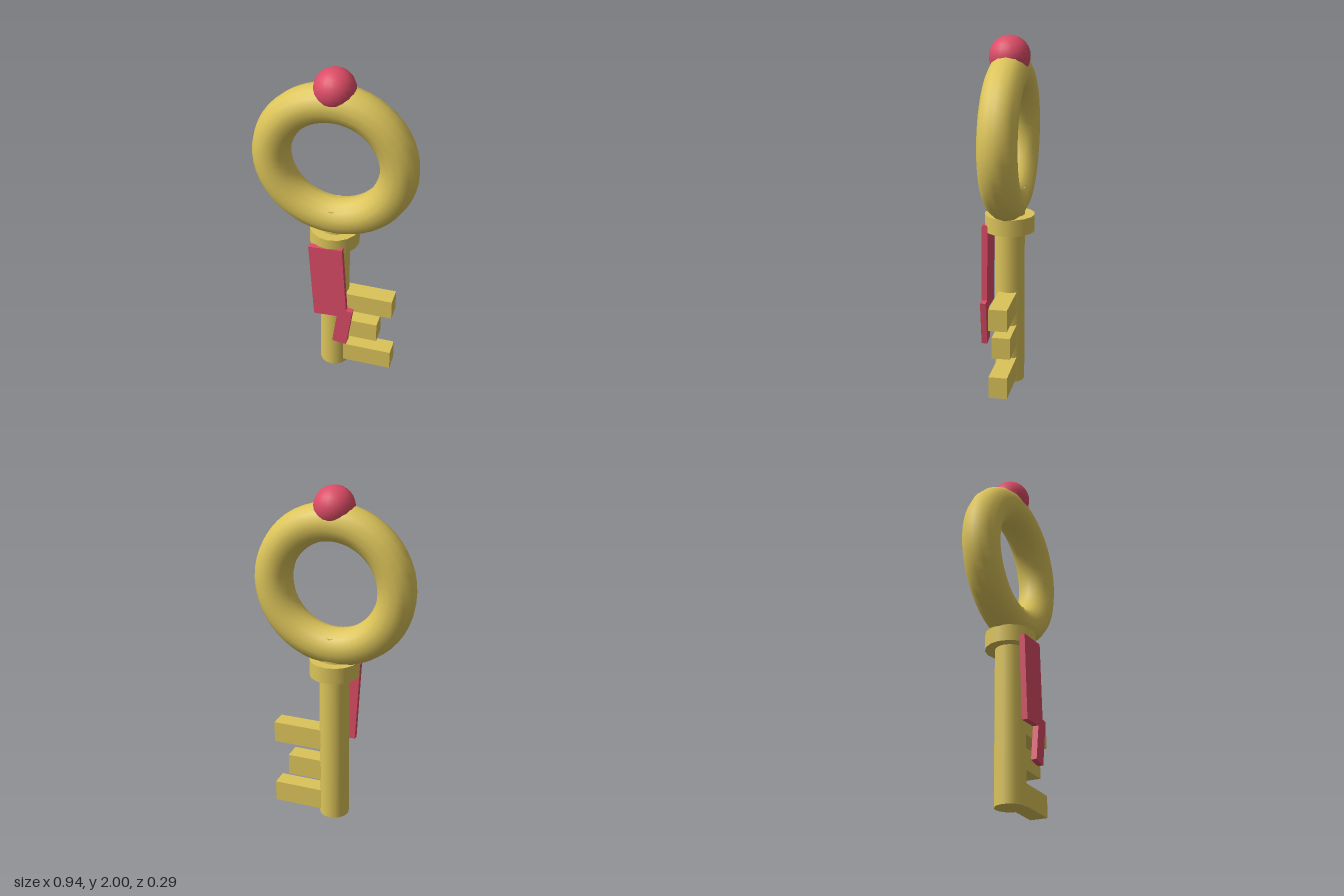
import * as THREE from 'three';

export function createModel() {
  const gold = new THREE.MeshStandardMaterial({ name: 'gold', color: 0xdcc45a });
  const red = new THREE.MeshStandardMaterial({ name: 'red', color: 0xdc4c66 });

  const key = new THREE.Group();
  key.name = 'key';
  const Z = -0.002; // key axis, balanced against the ribbon in front

  const add = (name, geometry, material, x, y, z = Z) => {
    const mesh = new THREE.Mesh(geometry, material);
    mesh.name = name;
    mesh.position.set(x, y, z);
    key.add(mesh);
    return mesh;
  };

  // Ring handle with a round gem on top
  add('bow', new THREE.TorusGeometry(0.36, 0.108, 14, 48), gold, 0, 1.441);
  add('gem', new THREE.SphereGeometry(0.114, 20, 14), red, 0, 1.886);

  // Shaft runs up into the ring through the collar
  add('shaft', new THREE.CylinderGeometry(0.086, 0.086, 1.153, 16), gold, 0, 0.5765);
  add('collar', new THREE.CylinderGeometry(0.142, 0.142, 0.096, 16), gold, 0, 0.953);

  // Teeth: [outer end, centre height]
  for (const [end, y] of [[0.357, 0.09], [0.27, 0.29], [0.357, 0.492]]) {
    const start = 0.065;
    add('tooth', new THREE.BoxGeometry(end - start, 0.125, 0.104), gold, (start + end) / 2, y);
  }

  // Ribbon hanging in front of the shaft
  const ribbonZ = 0.126;
  add('ribbon', new THREE.BoxGeometry(0.196, 0.488, 0.033), red, -0.002, 0.695, ribbonZ)
    .rotation.z = 0.06;
  add('ribbonTail', new THREE.BoxGeometry(0.085, 0.26, 0.033), red, 0.085, 0.379, ribbonZ)
    .rotation.z = -0.14;

  return key;
}
